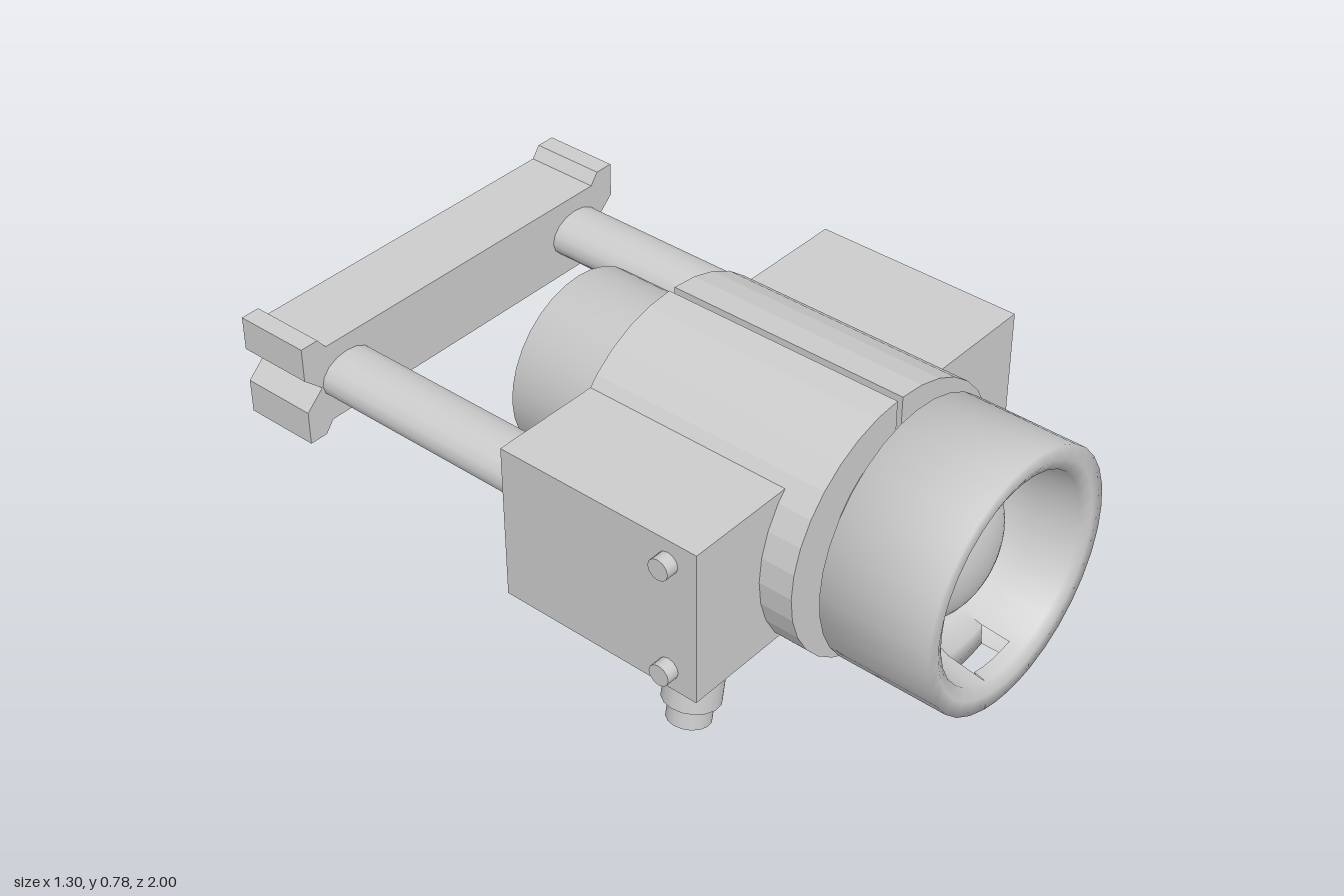
import * as THREE from 'three';

const AXIS_Y = 0.43;

export function createModel() {
  const model = new THREE.Group();
  const material = new THREE.MeshStandardMaterial({ color: 0xcccccc, side: THREE.DoubleSide });

  const add = (name, geometry, x = 0, y = 0, z = 0, parent = model) => {
    const mesh = new THREE.Mesh(geometry, material);
    mesh.name = name;
    mesh.position.set(x, y, z);
    parent.add(mesh);
    return mesh;
  };
  // Profile of [radius, z] pairs turned about the z axis; phi 0 points down
  const turned = (points, segments = 32, start = 0, length = Math.PI * 2) =>
    new THREE.LatheGeometry(points.map(p => new THREE.Vector2(...p)), segments, start, length)
      .rotateX(Math.PI / 2);
  const extruded = (points, z0, z1) =>
    new THREE.ExtrudeGeometry(new THREE.Shape(points.map(p => new THREE.Vector2(...p))),
      { depth: z1 - z0, bevelEnabled: false }).translate(0, 0, z0);

  // Central barrel, smooth over its rear cap
  add('barrel', turned([[0, -0.37], [0.255, -0.37], [0.255, 0.75]]), 0, AXIS_Y);

  // Lens hood with a small drain slot underneath
  const hood = new THREE.Group();
  hood.name = 'lensHood';
  model.add(hood);
  const back = [[0.2, 0.69], [0.35, 0.69]];
  const front = [[0.35, 1], [0.31, 1], [0.28, 0.985]];
  const cup = [[0.265, 0.87], [0.24, 0.81], [0.195, 0.79]];
  const slot = 0.27;
  add('hoodShell', turned([...back, ...front, ...cup], 30, slot, Math.PI * 2 - 2 * slot), 0, AXIS_Y, 0, hood);
  add('hoodBehindSlot', turned([...cup.slice().reverse(), [0.35, 0.86], [0.35, 0.69], [0.2, 0.69]].reverse(),
    4, -slot, 2 * slot), 0, AXIS_Y, 0, hood);
  add('hoodLip', turned([[0.272, 0.95], [0.35, 0.95], ...front, [0.272, 0.95]], 4, -slot, 2 * slot),
    0, AXIS_Y, 0, hood);

  // Domed lens
  const lens = new THREE.SphereGeometry(0.2, 32, 12, 0, Math.PI * 2, 0, Math.PI / 2);
  add('lens', lens.rotateX(Math.PI / 2).scale(1, 1, 0.6), 0, AXIS_Y, 0.78);

  for (const side of [1, -1]) {
    const label = side > 0 ? 'left' : 'right';

    // Half of the split clamp around the barrel
    const half = [];
    for (let i = 0; i <= 16; i++) {
      const a = -Math.PI / 2 + Math.PI * i / 16;
      half.push([side * (0.01 + 0.38 * Math.cos(a)), AXIS_Y + 0.355 * Math.sin(a)]);
    }
    add(label + 'ClampHalf', extruded(half, -0.055, 0.64));

    // Side box with its two bolts
    add(label + 'SideBox', new THREE.BoxGeometry(0.365, 0.445, 0.6), side * 0.4325, 0.4325, 0.245);
    for (const y of [0.27, 0.59]) {
      add(label + 'Bolt', new THREE.CylinderGeometry(0.03, 0.03, 0.05, 12).rotateZ(Math.PI / 2),
        side * 0.625, y, 0.46);
    }

    // Splayed foot in two diameters
    const foot = new THREE.Group();
    foot.name = label + 'Foot';
    foot.position.set(side * 0.465, 0.21, 0.425);
    foot.rotation.z = side * 0.175;
    model.add(foot);
    add('footSleeve', new THREE.CylinderGeometry(0.076, 0.076, 0.19, 16), 0, -0.048, 0, foot);
    add('footTip', new THREE.CylinderGeometry(0.058, 0.058, 0.1, 16), 0, -0.152, 0, foot);

    // Oval handle arm
    add(label + 'HandleArm', new THREE.CylinderGeometry(1, 1, 0.85, 16)
      .rotateX(Math.PI / 2).scale(0.09, 0.065, 1), side * 0.432, 0.435, -0.425);
  }

  // Rear grip bar with flared, notched ends
  const quarter = [[0.525, 0], [0.58, 0.05], [0.58, 0.1475], [0.525, 0.1475], [0.5, 0.115]];
  const right = [...quarter.slice().reverse().map(([x, y]) => [x, -y]), ...quarter.slice(1)];
  const outline = [...right, ...right.map(([x, y]) => [-x, -y])];
  add('gripBar', extruded(outline, -1, -0.78), 0, 0.4325);

  return model;
}
